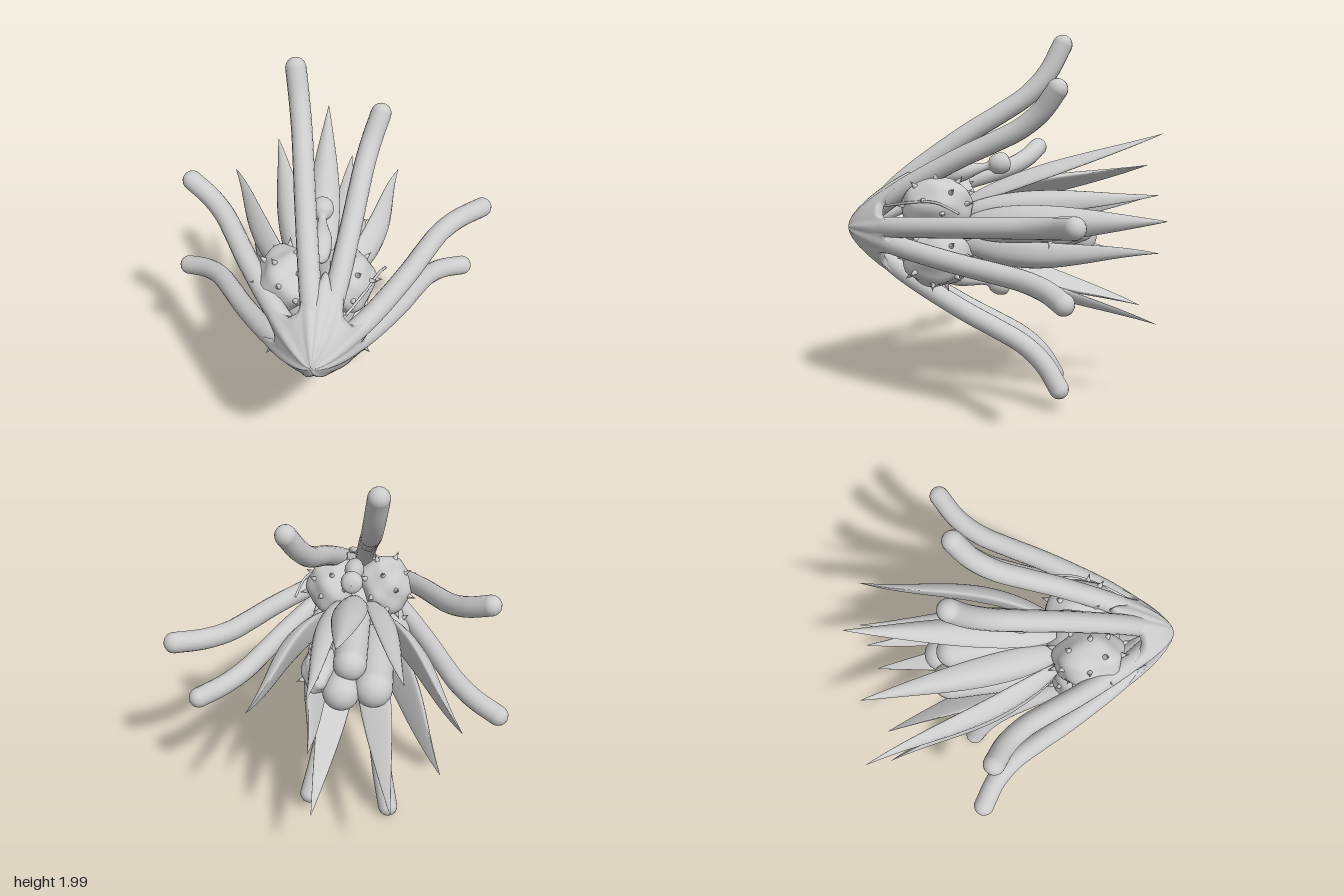
import * as THREE from 'three';

const V = (x, y, z) => new THREE.Vector3(x, y, z);
const MAT = new THREE.MeshStandardMaterial({ color: 0xcccccc, side: THREE.DoubleSide });
const CX = -0.06, CY = 0.97; // body axis, running along z

function mesh(name, geo, parent) {
  const m = new THREE.Mesh(geo, MAT);
  m.name = name;
  parent.add(m);
  return m;
}

// Skin a closed surface through equal-sized rings of points
function loft(rings) {
  const n = rings[0].length, idx = [];
  for (let i = 0; i < rings.length - 1; i++)
    for (let j = 0; j < n; j++) {
      const a = i * n + j, b = i * n + (j + 1) % n;
      idx.push(a, b, a + n, b, b + n, a + n);
    }
  const g = new THREE.BufferGeometry().setFromPoints(rings.flat());
  g.setIndex(idx);
  g.computeVertexNormals();
  return g;
}

// Tentacle tips
const ARMS = [
  [-0.185, 1.945, -0.32], [0.25, 1.72, -0.27], [0.83, 1.125, -0.32], [0.745, 0.755, -0.28],
  [0.165, 0.13, -0.3], [-0.275, 0.06, -0.3], [-0.83, 0.73, -0.29], [-0.745, 1.345, -0.21],
];
const angleOf = ([x, y]) => Math.atan2(y - CY, x - CX);

// Tentacle: leaves the head cone, runs back and flares outward at the tip
const ARM_PROFILE = [[0.12, 0.68], [0.27, 0.52], [0.5, 0.2], [0.61, 0.02], [0.71, -0.13], [0.83, -0.24], [0.98, -0.32]];
function arm(tip, parent) {
  const a = angleOf(tip), R = Math.hypot(tip[0] - CX, tip[1] - CY);
  const k = (R - 0.12) / 0.86, kz = 0.68 - tip[2];
  const pts = ARM_PROFILE.map(([r, z]) => {
    const rr = 0.12 + (r - 0.12) * k;
    return V(CX + Math.cos(a) * rr, CY + Math.sin(a) * rr, 0.68 - (0.68 - z) * kz);
  });
  const g = new THREE.Group();
  g.name = 'tentacle';
  parent.add(g);
  mesh('tentacleLength', new THREE.TubeGeometry(new THREE.CatmullRomCurve3(pts), 40, 0.054, 16), g);
  for (const p of [pts[0], pts[pts.length - 1]])
    mesh('tentacleEnd', new THREE.SphereGeometry(0.054, 16, 12), g).position.copy(p);
}

// Head: blunt cone shell whose rim melts into each tentacle and dips between them
function head(parent) {
  const N = 144, angles = [...ARMS.map(angleOf), 1.43]; // the last is the web between the upper pair
  const web = (t) => Math.max(...angles.map((a) => {
    const d = Math.atan2(Math.sin(t - a), Math.cos(t - a));
    return Math.exp(-((d / 0.17) ** 2));
  }));
  const ring = (s, inset) => Array.from({ length: N }, (_, j) => {
    const t = (j / N) * Math.PI * 2, w = web(t);
    const r = s * (0.2 + 0.11 * w);
    const z = 0.845 - 1.25 * (Math.hypot(r, 0.1) - 0.1) - 0.03 * s * (1 - w) - 0.06 * s ** 4 * w - inset;
    const q = Math.max(r - inset * 0.6, 0);
    return V(CX - 0.02 * (1 - s) + q * Math.cos(t), CY + q * Math.sin(t), z);
  });
  const S = [0, 0.1, 0.2, 0.35, 0.5, 0.65, 0.8, 0.92, 1];
  const inner = S.map((s) => ring(s, 0.03));
  const outer = S.map((s) => ring(s, 0)).reverse();
  mesh('head', loft([...inner, ...outer]), parent);
}

// Lumpy ellipsoid covered with small thorns
function thornyBulb(name, c, size, thorns, parent) {
  const g = new THREE.Group();
  g.name = name;
  g.position.set(...c);
  parent.add(g);
  const geo = new THREE.SphereGeometry(1, 32, 24), p = geo.attributes.position, v = V(0, 0, 0);
  const lump = (d) => 1 + 0.06 * Math.sin(5 * d.x + 2 + c[0] * 9) * Math.sin(6 * d.y + 1) + 0.04 * Math.sin(6 * d.z + 3 * d.x);
  const s = V(...size);
  for (let i = 0; i < p.count; i++) {
    v.fromBufferAttribute(p, i);
    v.multiplyScalar(lump(v)).multiply(s);
    p.setXYZ(i, v.x, v.y, v.z);
  }
  geo.computeVertexNormals();
  mesh(name + 'Body', geo, g);
  for (let i = 0; i < thorns; i++) {
    const y = 1 - (2 * i + 1) / thorns, t = i * 2.39996, r = Math.sqrt(1 - y * y);
    const d = V(r * Math.cos(t), y, r * Math.sin(t));
    const m = mesh('thorn', new THREE.ConeGeometry(0.02, 0.06, 8), g);
    m.position.copy(d).multiplyScalar(lump(d)).multiply(s).addScaledVector(d, 0.012);
    m.quaternion.setFromUnitVectors(V(0, 1, 0), d);
  }
}

// Pointed leaf: cupped lens sections swept from the body out to a sharp tip
function leaf(tip, width, bulge, parent) {
  const a = angleOf(tip);
  const out = V(Math.cos(a), Math.sin(a), 0), side = V(-Math.sin(a), Math.cos(a), 0);
  const base = V(CX, CY, 0.2).addScaledVector(out, 0.15), end = V(...tip);
  const M = 24, N = 20, rings = [];
  for (let i = 0; i <= M; i++) {
    const t = i / M;
    const w = width * (0.3 * (1 - t) ** 3 + 0.97 * Math.max(Math.sin(Math.PI * t ** 0.72), 0) ** 0.9) * (1 - 0.25 * t) + 0.001;
    const c = base.clone().lerp(end, t).addScaledVector(out, bulge * Math.sin(Math.PI * t) * (1 - t));
    rings.push(Array.from({ length: N }, (_, j) => {
      const b = (j / N) * Math.PI * 2, u = Math.cos(b);
      return c.clone().addScaledVector(side, w * u)
        .addScaledVector(out, w * (0.45 * Math.sin(b) * (1 - 0.3 * u * u) - 0.3 * u * u));
    }));
  }
  mesh('leaf', loft(rings), parent);
}

// Club-shaped stalk ending in a round knob
function knobStalk(x, y, lift, parent) {
  const pts = [[0.001, 0], [0.035, 0.03], [0.05, 0.1], [0.052, 0.16], [0.035, 0.23], [0.022, 0.28], [0.024, 0.31],
    [0.045, 0.33], [0.058, 0.37], [0.045, 0.415], [0.001, 0.43]].map(([r, h]) => new THREE.Vector2(r, h));
  const curve = new THREE.SplineCurve(pts);
  const m = mesh('knobStalk', new THREE.LatheGeometry(curve.getPoints(50).map((p) => p.setX(Math.max(p.x, 0))), 20), parent);
  m.position.set(x, y, 0.38);
  m.quaternion.setFromUnitVectors(V(0, 1, 0), V(0, lift, -1).normalize());
}

export function createModel() {
  const model = new THREE.Group();
  model.name = 'tentacledBloom';
  head(model);
  ARMS.forEach((tip) => arm(tip, model));

  // Ring of thorny bulbs behind the head
  for (const [x, y] of [[-0.21, 1.12], [0.07, 1.11], [0.07, 0.83], [-0.21, 0.83]])
    thornyBulb('thornyBulb', [x, y, 0.35], [0.15, 0.155, 0.185], 24, model);
  mesh('core', new THREE.SphereGeometry(0.2, 24, 18), model).position.set(CX, CY, 0.35);

  // Stalks above and below the bulbs
  knobStalk(-0.045, 1.24, 0.22, model);
  knobStalk(0.0, 0.74, -0.2, model);

  // Leaves fanning out at the rear: tip, half width, outward bulge
  const leaves = [
    [-0.03, 1.48, -0.85, 0.09, 0.03], [-0.33, 1.28, -0.82, 0.09, 0.05], [-0.6, 1.05, -0.85, 0.1, 0.08],
    [-0.52, 0.72, -0.76, 0.1, 0.08], [-0.29, 0.47, -0.79, 0.095, 0.05], [0.1, 0.47, -0.82, 0.09, 0.05],
    [0.39, 1.08, -0.81, 0.1, 0.1], [0.11, 0.86, -0.82, 0.095, 0.12], [0.11, 1.17, -0.81, 0.085, 0.06],
  ];
  leaves.forEach(([x, y, z, w, bulge]) => leaf([x, y, z], w, bulge, model));

  // Rounded pods nested inside the leaves
  for (const [x, y, z, r] of [[-0.18, 0.94, -0.17, 0.1], [-0.02, 0.93, -0.2, 0.095], [-0.06, 1.06, -0.14, 0.085]])
    mesh('pod', new THREE.CapsuleGeometry(r, 0.42, 10, 24).rotateX(Math.PI / 2), model).position.set(x, y, z);
  thornyBulb('thornyPod', [0.1, 0.99, -0.29], [0.085, 0.09, 0.18], 10, model);

  // Thin feeler beside the left bulb
  const feeler = new THREE.CatmullRomCurve3([V(0.08, 1.11, 0.62), V(0.17, 1.14, 0.48), V(0.24, 1.15, 0.34), V(0.28, 1.1, 0.22)]);
  mesh('feeler', new THREE.TubeGeometry(feeler, 24, 0.007, 8), model);
  return model;
}
